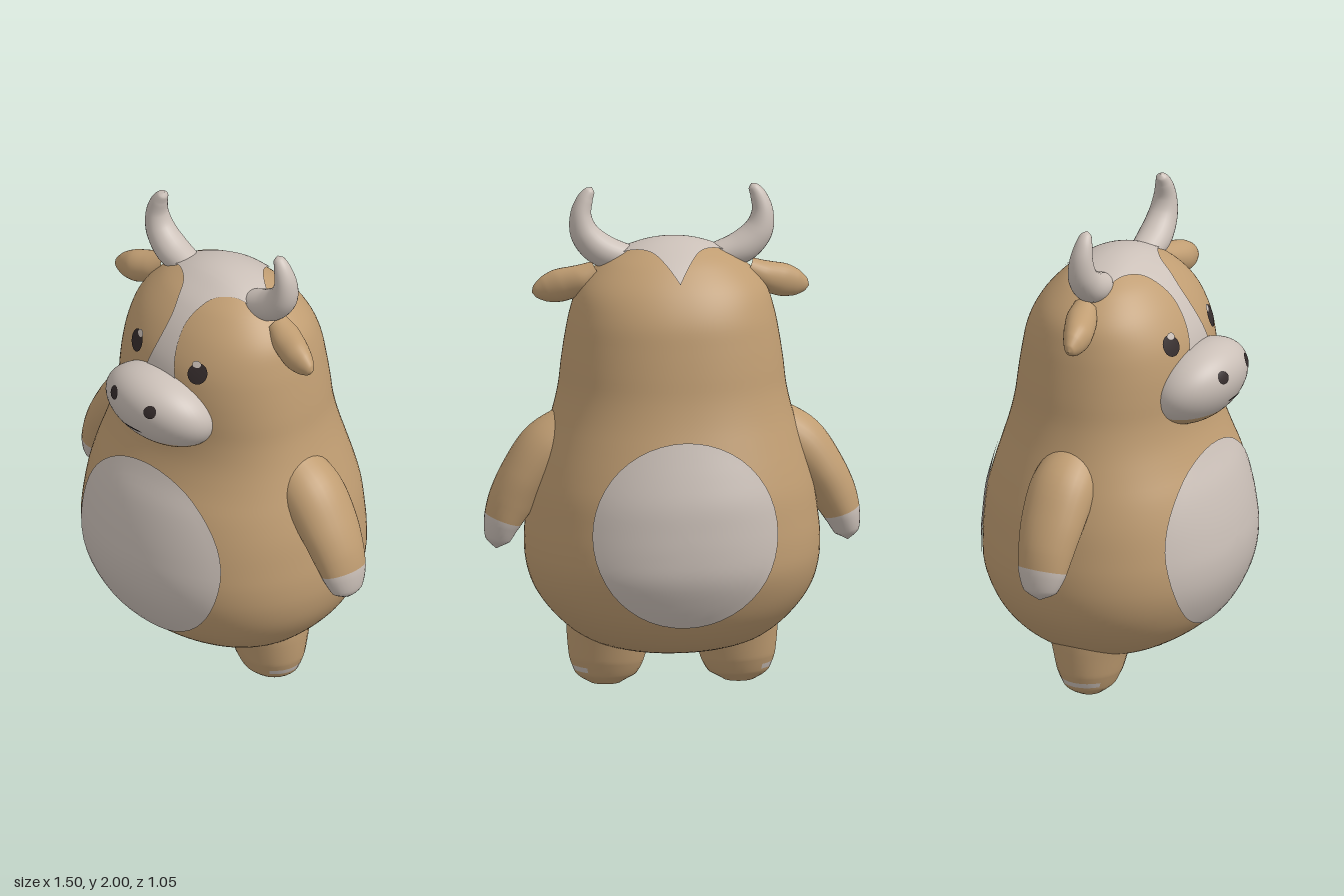
import * as THREE from 'three';

const mat = (name, color) => {
  const m = new THREE.MeshStandardMaterial({ color });
  m.name = name;
  return m;
};

// Smooth grid of nu x nv quads; closed joins the last column to the first.
// paint(t, a) picks the material index of each quad.
function grid(nu, nv, closed, point, paint) {
  const cols = closed ? nv : nv + 1, pos = [], idx = [];
  const geo = new THREE.BufferGeometry();
  for (let i = 0; i <= nu; i++)
    for (let j = 0; j < cols; j++) pos.push(...point(i / nu, j / nv));
  for (let i = 0; i < nu; i++)
    for (let j = 0; j < nv; j++) {
      const k = (j + 1) % cols;
      const a = i * cols + j, b = i * cols + k, c = b + cols, d = a + cols;
      if (paint) geo.addGroup(idx.length, 6, paint((i + 0.5) / nu, (j + 0.5) / nv));
      idx.push(a, b, c, a, c, d);
    }
  geo.setAttribute('position', new THREE.Float32BufferAttribute(pos, 3));
  geo.setIndex(idx);
  geo.computeVertexNormals();
  return geo;
}

// Limb swept along rows of [x, y, z, radius in the xy plane, radius in z]
function loft(rows, side, paint) {
  const path = new THREE.CatmullRomCurve3(rows.map(r => new THREE.Vector3(side * r[0], r[1], r[2])));
  const radii = new THREE.CatmullRomCurve3(rows.map(r => new THREE.Vector3(r[3], r[4], 0)));
  return grid(36, 28, true, (t, v) => {
    const p = path.getPoint(t), d = path.getTangent(t), r = radii.getPoint(t);
    const len = Math.hypot(d.x, d.y), a = v * Math.PI * 2;
    const n = Math.max(r.x, 0.001) * Math.cos(a) / len;
    return [p.x - d.y * n, p.y + d.x * n, p.z + Math.max(r.y, 0.001) * Math.sin(a)];
  }, paint);
}

// Body sections: height, half width, front depth, back depth
const SECTIONS = [
  [0.13, 0, 0, 0], [0.15, 0.22, 0.16, 0.19], [0.2, 0.36, 0.28, 0.32], [0.3, 0.48, 0.41, 0.425],
  [0.4, 0.55, 0.47, 0.48], [0.5, 0.58, 0.505, 0.515], [0.6, 0.585, 0.515, 0.52],
  [0.7, 0.575, 0.505, 0.515], [0.8, 0.56, 0.485, 0.505], [0.9, 0.535, 0.455, 0.48],
  [1, 0.505, 0.41, 0.45], [1.1, 0.475, 0.375, 0.42], [1.2, 0.452, 0.36, 0.398],
  [1.3, 0.44, 0.36, 0.385], [1.4, 0.425, 0.355, 0.37], [1.5, 0.405, 0.335, 0.35],
  [1.6, 0.37, 0.285, 0.302], [1.7, 0.275, 0.2, 0.215], [1.75, 0.185, 0.125, 0.145], [1.79, 0, 0, 0],
];
const POWER = 2.15;

// Smoothly interpolated section; squared radii keep both poles round
function section(y) {
  const S = SECTIONS, last = S.length - 1;
  let i = 0;
  while (i < last - 1 && y > S[i + 1][0]) i++;
  const h = S[i + 1][0] - S[i][0], t = THREE.MathUtils.clamp((y - S[i][0]) / h, 0, 1);
  return [1, 2, 3].map(k => {
    const slope = n => {
      const a = Math.max(n - 1, 0), b = Math.min(n + 1, last);
      return (S[b][k] ** 2 - S[a][k] ** 2) / (S[b][0] - S[a][0]);
    };
    const t2 = t * t, t3 = t2 * t;
    const r2 = (2 * t3 - 3 * t2 + 1) * S[i][k] ** 2 + (t3 - 2 * t2 + t) * h * slope(i)
      + (3 * t2 - 2 * t3) * S[i + 1][k] ** 2 + (t3 - t2) * h * slope(i + 1);
    return Math.sqrt(Math.max(r2, 1e-8));
  });
}

const bend = c => Math.sign(c) * Math.abs(c) ** (2 / POWER);

function bodyPoint(t, v) {
  const y = 0.96 - 0.83 * Math.cos(t * Math.PI), a = v * Math.PI * 2;
  const [w, f, b] = section(y), s = -Math.sin(a);
  return [w * bend(Math.cos(a)), y, (s > 0 ? f : b) * bend(s)];
}

function bodyZ(x, y, side) {
  const [w, f, b] = section(y);
  const k = Math.max(0, 1 - Math.min(1, Math.abs(x) / w) ** POWER) ** (1 / POWER);
  return side * (side > 0 ? f : b) * k;
}

// Pushes a guide point out of the head centre onto the body surface
function onHead(x, y, z) {
  const c = 1.3;
  let lo = 0, hi = 2;
  for (let i = 0; i < 30; i++) {
    const m = (lo + hi) / 2, py = c + (y - c) * m;
    const [w, f, b] = section(py);
    const q = (Math.abs(x * m) / w) ** POWER + (Math.abs(z * m) / (z > 0 ? f : b)) ** POWER;
    if (py < 1.79 && q < 1) lo = m; else hi = m;
  }
  const m = lo + 0.006 / Math.hypot(x, y - c, z);
  return [x * m, c + (y - c) * m, z * m];
}

// Muzzle: an ellipsoid leaning forward at the top
const MUZZLE = { y: 1.3, z: 0.345, rx: 0.255, ry: 0.17, rz: 0.175, lean: 0.28 };
function muzzlePoint(t, v) {
  const M = MUZZLE, p = t * Math.PI, a = v * Math.PI * 2, dy = M.ry * Math.cos(p);
  return [M.rx * Math.sin(p) * Math.cos(a), M.y + dy, M.z + M.lean * dy + M.rz * Math.sin(p) * Math.sin(a)];
}
function muzzleZ(x, y) {
  const M = MUZZLE, dy = y - M.y;
  return M.z + M.lean * dy + M.rz * Math.sqrt(Math.max(0, 1 - (x / M.rx) ** 2 - (dy / M.ry) ** 2));
}

// Thin oval laid over a surface given as z(x, y, side)
function oval(surface, cx, cy, rx, ry, side, lift) {
  return grid(12, 48, true, (t, v) => {
    const r = 1 - t, a = v * Math.PI * 2;
    const x = cx + side * rx * r * Math.cos(a), y = cy + ry * r * Math.sin(a);
    return [x, y, surface(x, y, side) + side * lift];
  });
}

export function createModel() {
  const tan = mat('tan hide', 0xc09d72);
  const cream = mat('pale cream', 0xcbc0b8);
  const dark = mat('dark brown', 0x352c2c);
  const model = new THREE.Group();
  const add = (name, geo, material) => {
    const mesh = new THREE.Mesh(geo, material);
    mesh.name = name;
    model.add(mesh);
    return mesh;
  };

  // Body and head in one piece, with its pale patches
  add('body', grid(90, 96, true, bodyPoint), tan);
  add('bellyPatch', oval(bodyZ, 0, 0.665, 0.39, 0.37, 1, 0.008), cream);
  add('backPatch', oval(bodyZ, 0, 0.675, 0.37, 0.375, -1, 0.008), cream);

  // Blaze from muzzle over the crown to a point behind: [half width, y, z]
  const blaze = new THREE.CatmullRomCurve3([
    [0.1, 1.4, 0.36], [0.065, 1.5, 0.335], [0.045, 1.58, 0.295], [0.04, 1.65, 0.245],
    [0.055, 1.7, 0.2], [0.09, 1.745, 0.135], [0.17, 1.77, 0.085], [0.32, 1.78, 0.05],
    [0.32, 1.79, -0.01], [0.19, 1.78, -0.06], [0.1, 1.755, -0.12], [0.045, 1.71, -0.2], [0.001, 1.65, -0.265],
  ].map(p => new THREE.Vector3(...p)));
  add('blaze', grid(60, 20, false, (t, v) => {
    const p = blaze.getPoint(t);
    return onHead(p.x * (2 * v - 1), p.y, p.z);
  }), cream);

  // Muzzle with tan chin, mouth and nostrils
  add('muzzle', grid(50, 48, true, muzzlePoint, t => (t > 0.68 ? 1 : 0)), [cream, tan]);
  add('mouth', oval(muzzleZ, 0, 1.26, 0.05, 0.006, 1, 0.004), dark);

  for (const s of [1, -1]) {
    const side = s > 0 ? 'left' : 'right';
    add(side + 'Nostril', oval(muzzleZ, s * 0.1, 1.38, 0.026, 0.026, 1, 0.005), dark);
    add(side + 'Eye', oval(bodyZ, s * 0.17, 1.505, 0.04, 0.042, 1, 0.007), dark);
    add(side + 'EyeGlint', oval(bodyZ, s * 0.158, 1.541, 0.018, 0.013, 1, 0.009), cream);

    add(side + 'Horn', loft([
      [0.17, 1.71, 0.01, 0.05, 0.06], [0.28, 1.745, 0.01, 0.065, 0.068], [0.345, 1.81, 0.01, 0.058, 0.06],
      [0.362, 1.885, 0.012, 0.043, 0.048], [0.345, 1.95, 0.015, 0.032, 0.035],
      [0.325, 1.985, 0.015, 0.02, 0.022], [0.318, 1.998, 0.015, 0.001, 0.001],
    ], s), cream);

    add(side + 'Ear', loft([
      [0.3, 1.66, 0, 0.045, 0.05], [0.37, 1.625, 0.015, 0.06, 0.065], [0.44, 1.602, 0.035, 0.066, 0.06],
      [0.5, 1.585, 0.045, 0.053, 0.042], [0.54, 1.575, 0.05, 0.025, 0.02], [0.552, 1.572, 0.052, 0.001, 0.001],
    ], s), tan);

    // Arm ending in a pale hoof
    add(side + 'Arm', loft([
      [0.4, 1.02, 0, 0.11, 0.12], [0.5, 0.95, 0, 0.115, 0.135], [0.59, 0.84, 0, 0.1, 0.13],
      [0.645, 0.74, 0, 0.09, 0.115], [0.678, 0.66, 0, 0.073, 0.1],
      [0.695, 0.59, 0, 0.05, 0.07], [0.7, 0.553, 0, 0.001, 0.001],
    ], s, t => (t > 0.64 ? 1 : 0)), [tan, cream]);

    // Leg with a narrow pale mark on its outer side and a dark sole
    add(side + 'Leg', loft([
      [0.25, 0.32, 0, 0.17, 0.19], [0.255, 0.2, 0, 0.165, 0.155], [0.262, 0.1, 0, 0.148, 0.128],
      [0.265, 0.04, 0, 0.12, 0.1], [0.265, 0.003, 0, 0.06, 0.055],
    ], s, (t, v) => (t > 0.62 && t < 0.7 && s * Math.cos(v * Math.PI * 2) > 0.55 ? 1 : 0)), [tan, cream]);
    const sole = add(side + 'Sole', new THREE.CircleGeometry(1, 32), dark);
    sole.scale.set(0.064, 0.058, 1);
    sole.rotation.x = Math.PI / 2;
    sole.position.set(s * 0.265, 0, 0);
  }
  return model;
}
